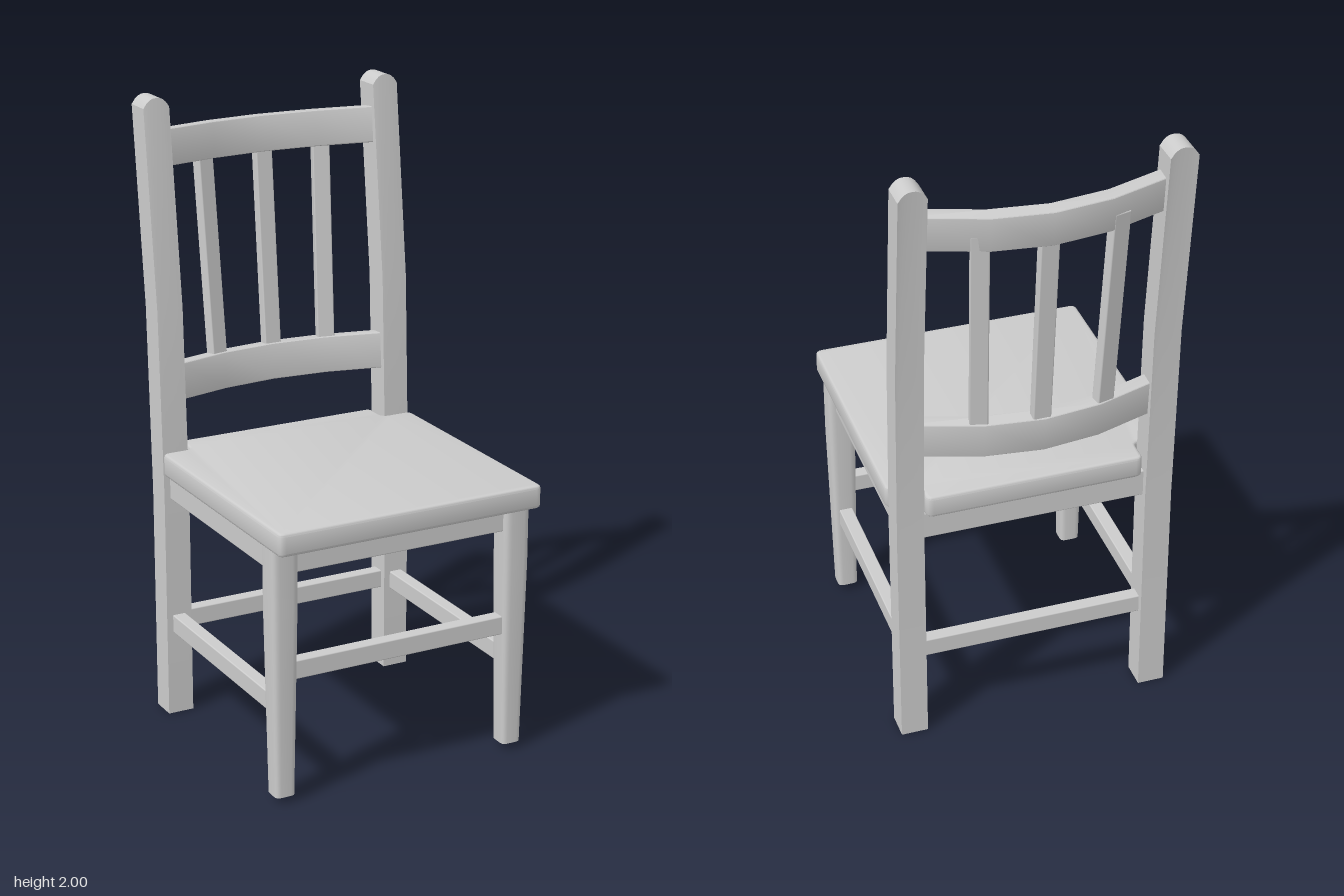
import * as THREE from 'three';
import { toCreasedNormals } from 'three/addons/utils/BufferGeometryUtils.js';
import { RoundedBoxGeometry } from 'three/addons/geometries/RoundedBoxGeometry.js';

const material = new THREE.MeshStandardMaterial({ color: 0xcccccc });

// Move every vertex of a geometry by a rule, then rebuild its normals
function reshape(geometry, rule, crease = 0.6) {
  const pos = geometry.attributes.position;
  const v = new THREE.Vector3();
  for (let i = 0; i < pos.count; i++) {
    v.fromBufferAttribute(pos, i);
    rule(v);
    pos.setXYZ(i, v.x, v.y, v.z);
  }
  return toCreasedNormals(geometry, crease);
}

// Polygon drawn in plan as [x, z] points, extruded upwards from y = 0
function planExtrude(points, height, bevel) {
  const shape = new THREE.Shape(points.map(([x, z]) => new THREE.Vector2(x, -z)));
  return new THREE.ExtrudeGeometry(shape, {
    depth: height - 2 * bevel, bevelEnabled: true, bevelSize: bevel,
    bevelThickness: bevel, bevelOffset: -bevel, bevelSegments: 3,
  }).translate(0, 0, bevel).rotateX(-Math.PI / 2);
}

// Replace each polygon corner with a small arc
function roundCorners(points, radius) {
  const out = [];
  points.forEach((p, i) => {
    const corner = new THREE.Vector2(...p);
    const ends = [points.at(i - 1), points[(i + 1) % points.length]].map((q) =>
      new THREE.Vector2(...q).sub(corner).setLength(radius).add(corner));
    new THREE.QuadraticBezierCurve(ends[0], corner, ends[1]).getPoints(4)
      .forEach((q) => out.push([q.x, q.y]));
  });
  return out;
}

// Rear post: bent side profile with a crowned top
function rearPostGeometry() {
  const width = 0.086;
  const profile = [[-0.296, 0], [-0.296, 0.75], [-0.32, 1.35], [-0.39, 2],
    [-0.477, 2], [-0.407, 1.35], [-0.383, 0.75], [-0.383, 0]];
  const shape = new THREE.Shape(profile.map(([z, y]) => new THREE.Vector2(-z, y)));
  const geometry = new THREE.ExtrudeGeometry(shape, { depth: width, steps: 8, bevelEnabled: false })
    .translate(0, 0, -width / 2).rotateY(Math.PI / 2);
  return reshape(geometry, (v) => {
    if (v.y > 1.9) v.y -= 0.03 * Math.pow(Math.abs(v.x) / (width / 2), 2.5);
  });
}

// Front leg: rounded square section that tapers towards the foot
function frontLegGeometry() {
  const h = 0.043;
  const section = roundCorners([[-h, -h], [-h, h], [h, h], [h, -h]], 0.022);
  const shape = new THREE.Shape(section.map(([x, z]) => new THREE.Vector2(x, -z)));
  const geometry = new THREE.ExtrudeGeometry(shape, { depth: 0.81, steps: 4, bevelEnabled: false })
    .rotateX(-Math.PI / 2);
  return reshape(geometry, (v) => {
    const s = 0.76 + 0.24 * Math.min(1, v.y / 0.6);
    v.x *= s;
    v.z *= s;
    v.y += 0.022;
  });
}

// Bowed back rail, leaning backwards
function backRailGeometry(height, lean) {
  const t = 0.025;
  const bow = [[-0.39, 0.012], [-0.354, 0], [-0.18, -0.052], [0, -0.072],
    [0.18, -0.052], [0.354, 0], [0.39, 0.012]];
  const outline = [...bow.map(([x, z]) => [x, z + t]),
    ...bow.toReversed().map(([x, z]) => [x, z - t])];
  const geometry = planExtrude(outline, height, 0.005).translate(0, -height / 2, 0).rotateX(-lean);
  return toCreasedNormals(geometry, 0.5);
}

export function createModel() {
  const chair = new THREE.Group();
  chair.name = 'chair';

  function add(name, geometry, x = 0, y = 0, z = 0) {
    const mesh = new THREE.Mesh(geometry, material);
    mesh.name = name;
    mesh.position.set(x, y, z);
    chair.add(mesh);
    return mesh;
  }
  const bar = (w, h, d) => new RoundedBoxGeometry(w, h, d, 2, 0.004);

  // Seat board with notches that clear the rear posts
  const half = [[0.447, 0.515], [0.447, -0.295], [0.345, -0.295], [0.345, -0.383]];
  const outline = [...half, ...half.toReversed().map(([x, z]) => [-x, z])].reverse();
  const board = planExtrude(roundCorners(outline, 0.022), 0.073, 0.01);
  add('seat', toCreasedNormals(board, 0.6), 0, 0.822, 0);

  // Legs, side aprons and side stretchers
  const post = rearPostGeometry();
  const leg = frontLegGeometry();
  for (const [side, x] of [['left', 0.398], ['right', -0.398]]) {
    add(`${side}RearPost`, post, x);
    add(`${side}FrontLeg`, leg, x, 0, 0.418);
    add(`${side}Apron`, bar(0.044, 0.09, 0.72), x, 0.782, 0.04);
    add(`${side}Stretcher`, bar(0.044, 0.06, 0.72), x, 0.311, 0.04);
  }

  // Cross aprons and cross stretchers
  add('frontApron', bar(0.74, 0.09, 0.044), 0, 0.782, 0.418);
  add('rearApron', bar(0.74, 0.09, 0.044), 0, 0.782, -0.34);
  add('frontStretcher', bar(0.74, 0.06, 0.044), 0, 0.425, 0.418);
  add('rearStretcher', bar(0.74, 0.06, 0.044), 0, 0.311, -0.34);

  // Back rails
  add('topRail', backRailGeometry(0.115, 0.1), 0, 1.84, -0.418);
  add('lowerRail', backRailGeometry(0.118, 0.08), 0, 1.106, -0.355);

  // Back slats, leaning with the rails and turned along their bow
  const up = new THREE.Vector3(0, 1, 0);
  for (const [name, low, high, turn] of [
    ['leftSlat', [0.19, 1.1, -0.403], [0.204, 1.83, -0.468], 0.25],
    ['middleSlat', [0.007, 1.1, -0.427], [0.007, 1.83, -0.49], 0],
    ['rightSlat', [-0.196, 1.1, -0.403], [-0.211, 1.83, -0.468], -0.25],
  ]) {
    const a = new THREE.Vector3(...low);
    const b = new THREE.Vector3(...high);
    const mid = a.clone().lerp(b, 0.5);
    const slat = add(name, bar(0.056, a.distanceTo(b), 0.036), mid.x, mid.y, mid.z);
    slat.quaternion.setFromUnitVectors(up, b.sub(a).normalize());
    slat.rotateY(-turn);
  }
  return chair;
}
